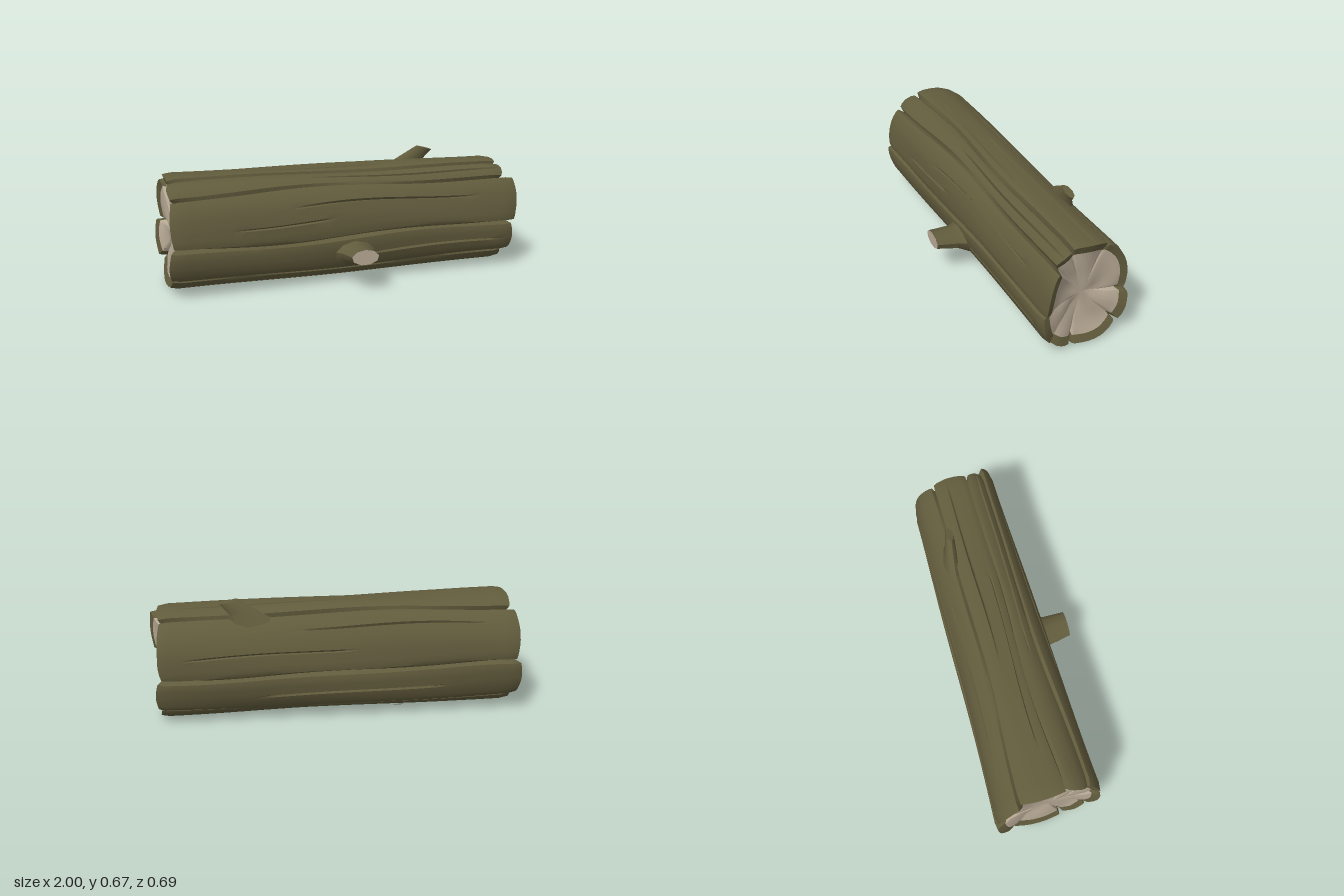
import * as THREE from 'three';
import { toCreasedNormals } from 'three/addons/utils/BufferGeometryUtils.js';

const bark = new THREE.MeshStandardMaterial({ color: 0x625c3d });
bark.name = 'olive bark';
const wood = new THREE.MeshStandardMaterial({ color: 0xb8aa96 });
wood.name = 'pale cut wood';

const RAD = Math.PI / 180;
const lerp = THREE.MathUtils.lerp;
const V = (x, y, z) => new THREE.Vector3(x, y, z);

// Bark planks: start angle (0 front, 90 top), left end x, right end x, radial offset
const planks = [
  [-75, -0.945, 0.925, 0.0],
  [-42, -0.95, 0.965, 0.004],
  [-5, -0.935, 0.985, 0.0],
  [48, -0.935, 0.925, -0.003],
  [73, -0.94, 0.92, 0.004],
  [120, -0.965, 0.915, -0.004],
  [184, -0.985, 0.935, 0.006],
  [225, -0.96, 0.925, -0.002],
];

// Short cracks inside the planks: angle, from x, to x
const cracks = [
  [-58, -0.9, 0.3], [-24, 0.1, 0.9], [14, -0.6, -0.1], [28, -0.3, 0.75],
  [60, -0.2, 0.95], [84, -0.7, 0.3], [101, -0.2, 0.9], [140, -0.8, 0.2],
  [162, -0.1, 0.8], [204, -0.6, 0.4], [245, -0.8, 0.1], [266, -0.2, 0.8],
];

// Smooth body outline at angle a (degrees) and position x
function surface(x, a, offset = 0, scale = 1) {
  const t = (x + 1) / 2;
  const drift = 2.5 * Math.sin(2.6 * x + a * RAD * 2) + 1.5 * Math.sin(5.3 * x + a * RAD * 3);
  const th = (a + drift) * RAD, c = Math.cos(th), s = Math.sin(th);
  const k = Math.pow(Math.abs(c) ** 2.4 + Math.abs(s) ** 2.4, -1 / 2.4);
  const rz = lerp(0.29, 0.25, t) - 0.008 * Math.sin(Math.PI * t);
  const ry = lerp(0.308, 0.299, t);
  const wave = 0.004 * Math.sin(4 * x + a * RAD * 4);
  const y = lerp(0.322, 0.305, t) + (k * ry * scale + offset + wave) * s;
  const z = lerp(-0.055, -0.085, t) + (k * rz * scale + offset + wave) * c;
  return V(x, y, z);
}

// Columns around the log: groove bottoms, plank shoulders, plank faces and cracks
function makeColumns() {
  const cols = [];
  planks.forEach(([start, left, right, off], i) => {
    const prev = planks[(i + planks.length - 1) % planks.length];
    const end = i + 1 < planks.length ? planks[i + 1][0] : planks[0][0] + 360;
    cols.push({
      a: start, off: Math.min(off, prev[3]), groove: 1,
      left: Math.max(left, prev[1]) + 0.025, right: Math.min(right, prev[2]) - 0.025,
    });
    const add = (a, extra = {}) => {
      const bulge = 0.015 * Math.sin(Math.PI * (a - start) / (end - start));
      cols.push({ a, off, left: left - bulge, right: right + bulge, ...extra });
    };
    const list = [[start + 2.2, { shoulder: 1 }], [start + 6], [end - 6], [end - 2.2, { shoulder: 1 }]];
    for (let a = start + 11; a < end - 8; a += 7) {
      if (!cracks.some(c => Math.abs(c[0] - a) < 3)) list.push([a]);
    }
    cracks.filter(c => c[0] > start && c[0] < end).forEach(c =>
      list.push([c[0] - 1.3], [c[0], { crack: c }], [c[0] + 1.3]));
    list.sort((p, q) => p[0] - q[0]).forEach(p => add(...p));
  });
  return cols;
}

// Radial offset of a column at x
function relief(col, x) {
  let d = col.off;
  if (col.groove) d -= 0.018 + 0.007 * Math.sin(6 * x + col.a) + 0.03 * Math.abs(x) ** 6;
  if (col.shoulder) d -= 0.004;
  if (col.crack) {
    const t = (x - col.crack[1]) / (col.crack[2] - col.crack[1]);
    if (t > 0 && t < 1) d -= 0.014 * Math.sqrt(Math.sin(Math.PI * t));
  }
  return d;
}

// Closed loft through rows of points
function loft(name, rows, material, crease = 0.6) {
  const n = rows[0].length, index = [];
  for (let i = 0; i < rows.length - 1; i++) {
    for (let j = 0; j < n; j++) {
      const a = i * n + j, d = i * n + (j + 1) % n;
      index.push(a, a + n, d + n, a, d + n, d);
    }
  }
  const g = new THREE.BufferGeometry().setFromPoints(rows.flat());
  g.setIndex(index);
  const mesh = new THREE.Mesh(toCreasedNormals(g, crease), material);
  mesh.name = name;
  return mesh;
}

// Elliptical ring of a branch
function ring(c, u, v, n = 9) {
  return Array.from({ length: n }, (_, i) => {
    const t = i / n * Math.PI * 2;
    return c.clone().addScaledVector(u, Math.cos(t)).addScaledVector(v, Math.sin(t));
  });
}

// Branch stub with its end face
function branch(name, rings, endMaterial) {
  const group = new THREE.Group();
  group.name = name;
  const last = rings[rings.length - 1];
  const mid = last.reduce((s, p) => s.add(p), V(0, 0, 0)).divideScalar(last.length);
  group.add(loft(name + 'Side', rings, bark, 0.8));
  group.add(loft(name + 'End', [last, last.map(() => mid)], endMaterial));
  return group;
}

export function createModel() {
  const log = new THREE.Group();
  log.name = 'log';
  const cols = makeColumns();

  // Inner edge of the bark rim at each end
  const rim = side => cols.map(c => {
    const x = (side < 0 ? c.left : c.right) - side * (c.groove ? 0.004 : 0.018);
    return surface(x, c.a, c.groove ? -0.018 : 0, 0.83);
  });
  const leftRim = rim(-1), rightRim = rim(1);

  // Bark shell with rims
  const rows = [leftRim];
  const steps = 44;
  for (let i = 0; i <= steps; i++) {
    rows.push(cols.map(c => {
      const x = lerp(c.left, c.right, i / steps);
      const chamfer = i === 0 || i === steps ? 0.008 : 0;
      return surface(x, c.a, relief(c, x) - chamfer);
    }));
  }
  rows.push(rightRim);
  log.add(loft('barkShell', rows, bark, 0.55));

  // Hollowed cut faces
  const dish = (edge, center) => [1, 0.85, 0.6, 0.3, 0].map(s => edge.map((p, j) => {
    const q = center.clone().lerp(p, s);
    q.x = lerp(center.x, p.x, s * s) + 0.008 * Math.sin(cols[j].a * RAD * 3 + s * 5) * s * (1 - s) * 4;
    return q;
  }));
  log.add(loft('rightCutFace', dish(rightRim, V(0.89, 0.305, -0.085)), wood, 1));
  log.add(loft('leftCutFace', dish(leftRim, V(-0.925, 0.322, -0.055)).reverse(), wood, 1));

  // Sawn branch on the front, flared at its base
  const front = (x, y, z, w, h) => ring(V(x, y, z), V(0, h, 0), V(w, 0, 0));
  log.add(branch('frontBranch', [
    front(0.035, 0.19, 0.13, 0.15, 0.1),
    front(0.035, 0.19, 0.19, 0.105, 0.068),
    front(0.04, 0.196, 0.225, 0.088, 0.055),
    front(0.045, 0.217, 0.345, 0.075, 0.043),
  ], wood));

  // Leaning twig stub on top
  const twig = (x, y, z, u, w) => ring(V(x, y, z), u, V(0, 0, w), 8);
  log.add(branch('topTwig', [
    twig(0.44, 0.54, -0.215, V(0.12, -0.02, 0), 0.045),
    twig(0.485, 0.605, -0.205, V(0.07, -0.012, 0), 0.03),
    twig(0.555, 0.661, -0.192, V(0.047, -0.013, 0), 0.022),
  ], bark));

  // Small bare spot low on the back
  const spot = s => ring(V(0, 0, 0), V(1, 0, 0), V(0, 1, 0), 7).map(p =>
    surface(-0.35 + p.x * 0.03 * s, 236 - p.y * 3 * s, 0.004 + 0.004 * (1 - s)));
  log.add(loft('bareSpot', [spot(1), spot(0)].map(r => r.reverse()), wood));
  log.getObjectByName('bareSpot').material.side = THREE.DoubleSide;

  return log;
}
